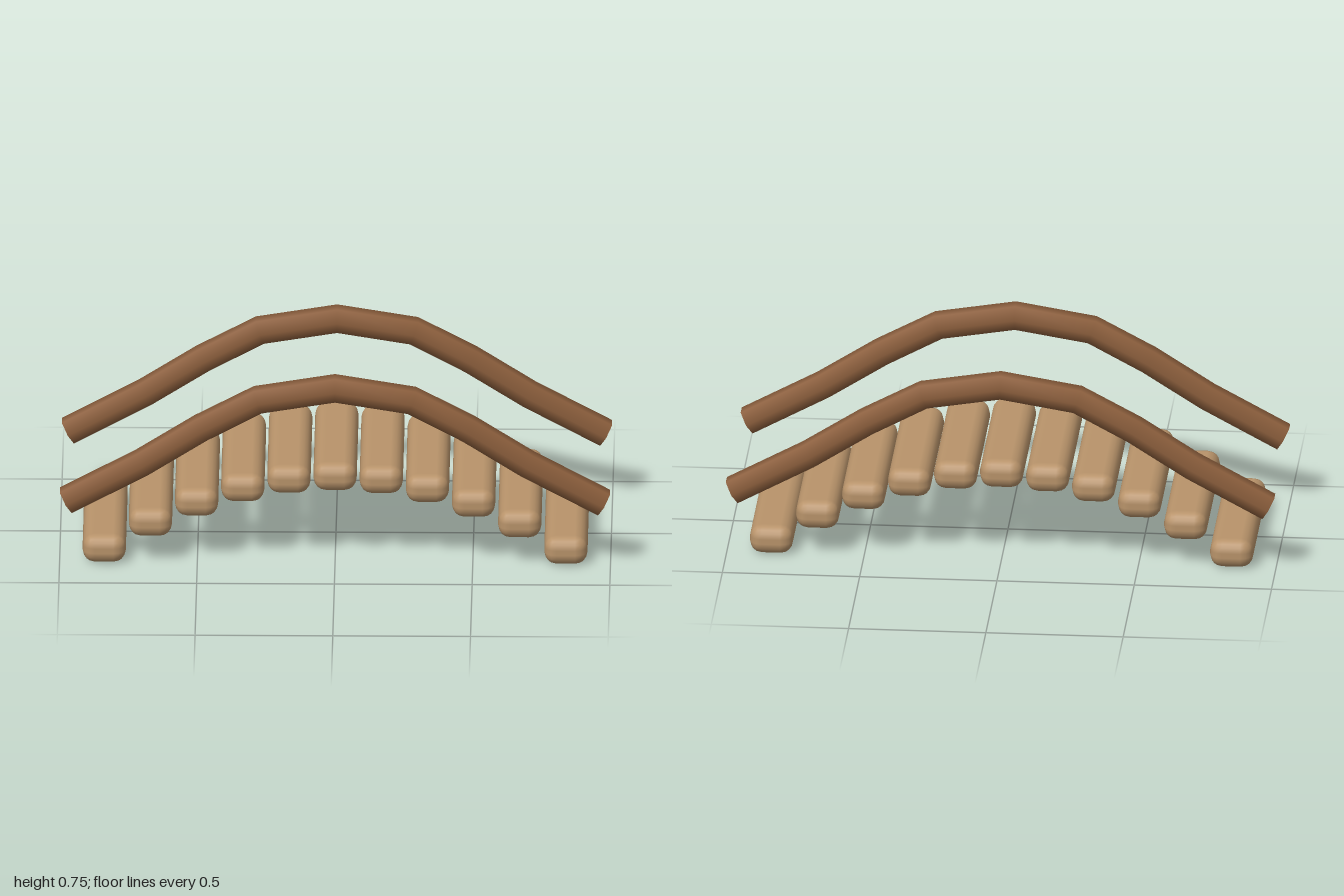
import * as THREE from 'three';
import { RoundedBoxGeometry } from 'three/addons/geometries/RoundedBoxGeometry.js';

const plankWood = new THREE.MeshStandardMaterial({ color: 0xb8936a });
plankWood.name = 'plankWood';
const railWood = new THREE.MeshStandardMaterial({ color: 0x8b5e3c });
railWood.name = 'railWood';

const PLANKS = 11;
const RAIL_RADIUS = 0.0525;
const RAIL_Z = 0.336;

// Half of the rail's centreline; the other half is mirrored
const HALF_RAIL = [[0, 0.7], [0.28, 0.654], [0.487, 0.543], [0.7, 0.407], [0.977, 0.257]];

function railCurve() {
  const right = HALF_RAIL.map(([x, y]) => new THREE.Vector3(x, y, 0));
  const left = HALF_RAIL.slice(1).reverse().map(([x, y]) => new THREE.Vector3(-x, y, 0));
  const curve = new THREE.CatmullRomCurve3([...left, ...right]);
  // Sample exactly at the bends rather than at equal lengths
  curve.getPointAt = (t, target) => curve.getPoint(t, target);
  curve.getTangentAt = (t, target) => curve.getTangent(t, target);
  return curve;
}

// Six-sided bent log with flat ends
function createRail(name, z) {
  const rail = new THREE.Group();
  rail.name = name;
  const curve = railCurve();
  const log = new THREE.Mesh(
    new THREE.TubeGeometry(curve, (HALF_RAIL.length - 1) * 2, RAIL_RADIUS, 6), railWood);
  log.name = 'railLog';
  rail.add(log);

  for (const end of [0, 1]) {
    const outward = curve.getTangent(end).multiplyScalar(end ? 1 : -1);
    const cap = new THREE.Mesh(new THREE.CircleGeometry(RAIL_RADIUS, 6), railWood);
    cap.name = 'railEnd';
    cap.position.copy(curve.getPoint(end));
    cap.lookAt(cap.position.clone().add(outward));
    // Corners point sideways, along z
    rail.add(cap);
  }
  rail.position.z = z;
  return rail;
}

export function createModel() {
  const bridge = new THREE.Group();
  bridge.name = 'archedBridge';

  // Level planks stepping up along an arch
  const deck = new THREE.Group();
  deck.name = 'deck';
  const plankGeometry = new RoundedBoxGeometry(0.157, 0.108, 0.66, 2, 0.045);
  for (let i = 0; i < PLANKS; i++) {
    const u = (i / (PLANKS - 1)) * 2 - 1;
    const plank = new THREE.Mesh(plankGeometry, plankWood);
    plank.name = 'plank';
    plank.position.set(u * 0.838, 0.054 + 0.285 * (1 - u * u), 0);
    deck.add(plank);
  }
  bridge.add(deck);

  // Handrails on both sides
  bridge.add(createRail('frontRail', RAIL_Z), createRail('backRail', -RAIL_Z));
  return bridge;
}
